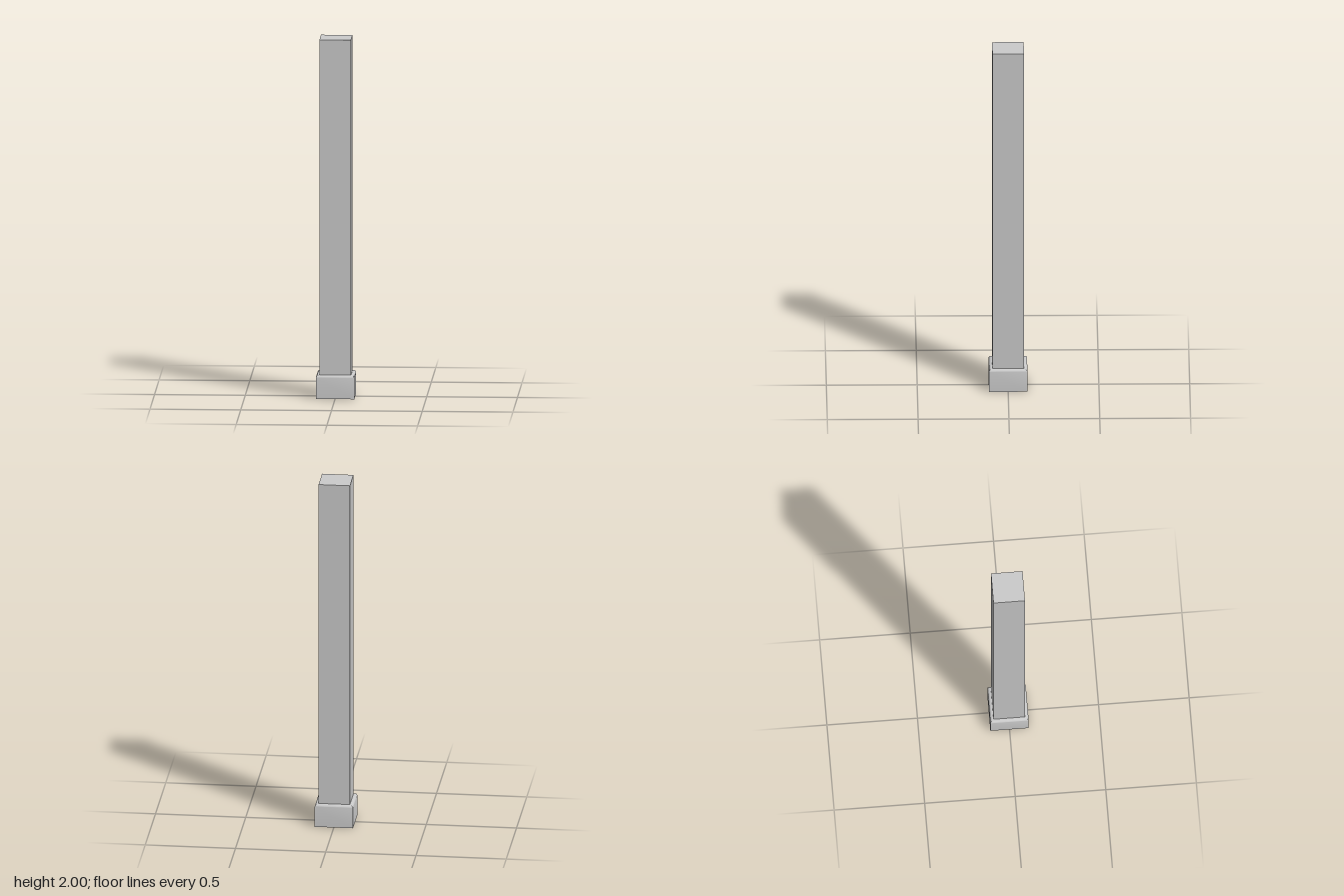
import * as THREE from 'three';
import { toCreasedNormals } from 'three/addons/utils/BufferGeometryUtils.js';

const material = new THREE.MeshStandardMaterial({ color: 0xcccccc });

// Square solid from a profile of [half width, height] points, bottom to top
function squareTurned(name, profile) {
  const points = profile.map(([half, y]) => new THREE.Vector2(half * Math.SQRT2, y));
  const geometry = new THREE.LatheGeometry(points, 4, Math.PI / 4);
  const mesh = new THREE.Mesh(toCreasedNormals(geometry, 0.6), material);
  mesh.name = name;
  return mesh;
}

export function createModel() {
  const post = new THREE.Group();
  post.name = 'squarePost';

  // Plinth with a softly rounded top edge
  post.add(squareTurned('plinth', [
    [0, 0], [0.106, 0], [0.106, 0.118],
    [0.105, 0.122], [0.102, 0.126], [0.098, 0.129], [0.092, 0.131],
    [0, 0.131],
  ]));

  // Plain square shaft standing on the plinth
  const height = 1.87;
  const shaft = new THREE.Mesh(new THREE.BoxGeometry(0.174, height, 0.174), material);
  shaft.name = 'shaft';
  shaft.position.y = 2 - height / 2;
  post.add(shaft);

  return post;
}
